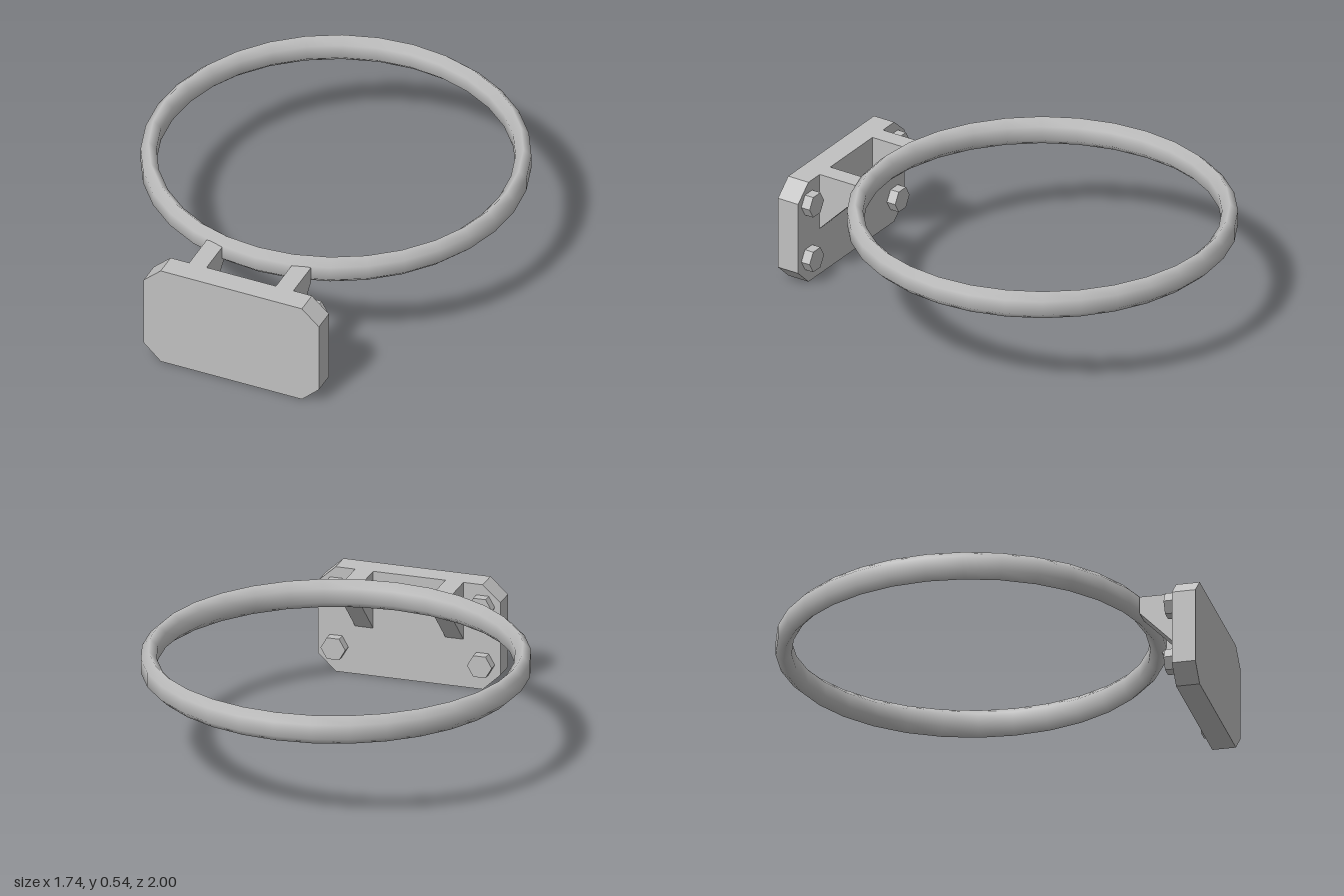
import * as THREE from 'three';
import { mergeVertices } from 'three/addons/utils/BufferGeometryUtils.js';

const grey = new THREE.MeshStandardMaterial({ color: 0xc0c0c0 });
grey.name = 'grey';

function add(group, name, geometry) {
  const mesh = new THREE.Mesh(geometry, grey);
  mesh.name = name;
  group.add(mesh);
  return mesh;
}

const extrude = (points, depth) => new THREE.ExtrudeGeometry(
  new THREE.Shape(points.map(([x, y]) => new THREE.Vector2(x, y))),
  { depth, bevelEnabled: false });

// Hoop: six-sided oval section, taller than wide, turned around y and shaded smooth
function hoopGeometry() {
  const section = [];
  for (let i = 0; i <= 6; i++) {
    const a = Math.PI / 6 + (i % 6) * Math.PI / 3;
    section.push(new THREE.Vector2(0.835 + 0.041 * Math.cos(a), 0.067 * Math.sin(a)));
  }
  const lathe = new THREE.LatheGeometry(section, 32);
  lathe.deleteAttribute('normal');
  lathe.deleteAttribute('uv');
  const geometry = mergeVertices(lathe);
  geometry.computeVertexNormals();
  return geometry;
}

// Hexagonal bolt head with faceted sides, corners pointing left and right
function boltGeometry() {
  const geometry = new THREE.CylinderGeometry(0.058, 0.058, 0.05, 6, 1, false, Math.PI / 2)
    .rotateX(Math.PI / 2).toNonIndexed();
  geometry.computeVertexNormals();
  return geometry;
}

export function createModel() {
  const model = new THREE.Group();
  model.name = 'hoopWithMount';

  add(model, 'hoop', hoopGeometry()).position.set(0, 0.471, -0.13);

  // Mounting plate with cut corners
  add(model, 'mountingPlate', extrude([
    [-0.345, 0], [0.345, 0], [0.428, 0.078], [0.428, 0.425],
    [0.345, 0.5], [-0.345, 0.5], [-0.428, 0.425], [-0.428, 0.078],
  ], 0.108)).position.z = 0.892;

  // Gussets from plate to hoop; the profile is drawn in (-z, y) and extruded along x
  const gusset = extrude([[-0.895, 0.225], [-0.703, 0.42], [-0.703, 0.5], [-0.895, 0.5]], 0.085)
    .rotateY(Math.PI / 2).translate(-0.0425, 0, 0);
  const bolt = boltGeometry();
  for (const [side, s] of [['left', 1], ['right', -1]]) {
    add(model, side + 'Gusset', gusset).position.x = s * 0.212;
    for (const [level, y] of [['Upper', 0.398], ['Lower', 0.123]])
      add(model, side + level + 'Bolt', bolt).position.set(s * 0.344, y, 0.873);
  }
  return model;
}
